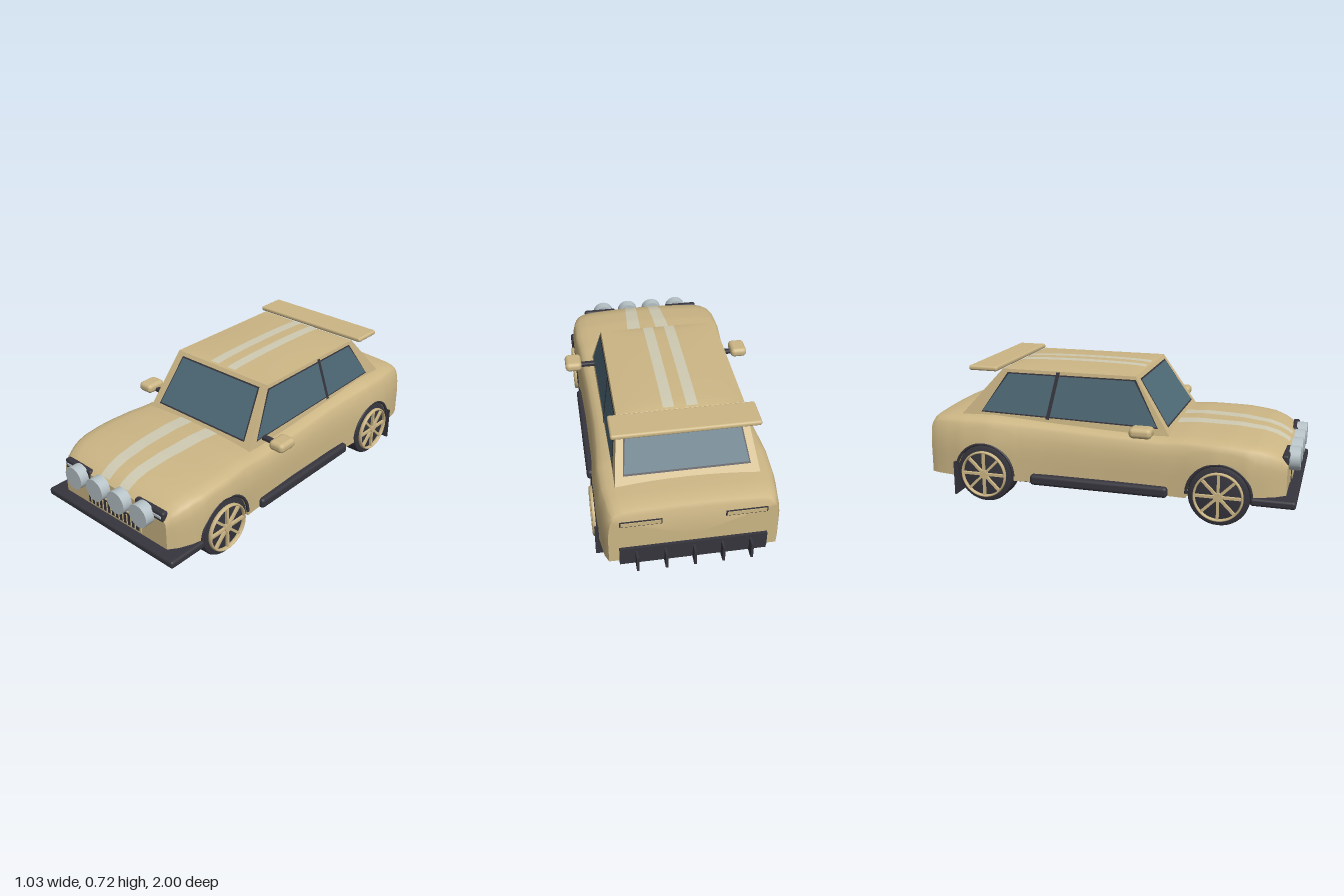
import * as THREE from 'three';
import { toCreasedNormals } from 'three/addons/utils/BufferGeometryUtils.js';
import { RoundedBoxGeometry } from 'three/addons/geometries/RoundedBoxGeometry.js';

const material = (name, color) => {
  const m = new THREE.MeshStandardMaterial({ color });
  m.name = name;
  return m;
};
const paint = material('sand paint', 0xccb685);
const trim = material('dark trim', 0x36353d);
const under = material('black floor', 0x1c1c1f);
const glass = material('blue glass', 0x4f6b78);
const stripe = material('pale stripe', 0xcfcab2);
const lamp = material('lamp silver', 0xb6c2c7);

// Piecewise linear value along z
const track = (pts) => (z) => {
  let i = 1;
  while (i < pts.length - 1 && z > pts[i][0]) i++;
  const [a, b] = [pts[i - 1], pts[i]];
  return a[1] + (b[1] - a[1]) * THREE.MathUtils.clamp((z - a[0]) / (b[0] - a[0]), 0, 1);
};
const halfWidth = track([[-0.94, 0.405], [-0.9, 0.422], [-0.75, 0.444], [-0.6, 0.449], [-0.42, 0.435], [-0.25, 0.427],
  [0.1, 0.427], [0.4, 0.436], [0.6, 0.45], [0.76, 0.445], [0.84, 0.425], [0.9, 0.398], [0.945, 0.365]]);
const topLine = track([[-0.94, 0.425], [-0.93, 0.442], [-0.9, 0.453], [-0.83, 0.459], [-0.6, 0.467], [-0.3, 0.452],
  [0, 0.438], [0.3, 0.427], [0.36, 0.43], [0.46, 0.437], [0.67, 0.432], [0.81, 0.416], [0.87, 0.398], [0.92, 0.372], [0.945, 0.35]]);
const deckY = (x, z) => topLine(z) - 0.012 * (x / (halfWidth(z) - 0.09)) ** 2;
const roofY = (x, z) => 0.7 + 0.015 * (1 - (x / 0.31) ** 2) * Math.sqrt(Math.max(0, 1 - ((z + 0.188) / 0.358) ** 2));
const wheelZ = [-0.62, 0.625], axleY = 0.155, archR = 0.165, floorY = 0.13;

function geometry(pos, index) {
  const g = new THREE.BufferGeometry();
  g.setAttribute('position', new THREE.Float32BufferAttribute(pos, 3));
  g.setIndex(index);
  g.computeVertexNormals();
  return g;
}

// Lofted shell whose lower edge follows the wheel arches
function bodyGeometry() {
  const stations = [];
  const plain = (...zs) => zs.forEach((z) => stations.push([z, floorY]));
  const arch = (zc) => {
    const dip = Math.asin((axleY - floorY) / archR);
    for (let i = 0; i <= 22; i++) {
      const a = Math.PI + dip - (i / 22) * (Math.PI + 2 * dip);
      stations.push([zc + archR * Math.cos(a), axleY + archR * Math.sin(a)]);
    }
  };
  plain(-0.94, -0.93, -0.9, -0.83);
  arch(wheelZ[0]);
  plain(-0.42, -0.3, -0.25, 0, 0.1, 0.3, 0.36, 0.4);
  arch(wheelZ[1]);
  plain(0.81, 0.84, 0.87, 0.9, 0.92, 0.945);
  const pos = [], index = [];
  let n = 0;
  for (const [z, yb] of stations) {
    const w = halfWidth(z), ys = topLine(z) - 0.045;
    const side = (y) => w - 1.2 * Math.max(0, y - 0.27) ** 2;
    const half = [[0, yb]];
    for (let k = 0; k <= 5; k++) {
      const y = yb + (ys - yb) * k / 5;
      half.push([side(y), y]);
    }
    half.push([side(ys) - 0.01, ys + 0.014], [side(ys) - 0.032, ys + 0.026]);
    for (const f of [1, 0.75, 0.5, 0.25, 0]) half.push([(w - 0.09) * f, deckY((w - 0.09) * f, z)]);
    const ring = [...half, ...half.slice(1, -1).reverse().map(([x, y]) => [-x, y])];
    n = ring.length;
    ring.forEach(([x, y]) => pos.push(x, y, z));
  }
  const last = stations.length - 1;
  for (let j = 0; j < last; j++) for (let k = 0; k < n; k++) {
    const a = j * n + k, b = j * n + (k + 1) % n;
    index.push(a, b, a + n, b, b + n, a + n);
  }
  const c = pos.length / 3;
  pos.push(0, 0.25, stations[0][0], 0, 0.25, stations[last][0]);
  for (let k = 0; k < n; k++) {
    const k2 = (k + 1) % n;
    index.push(c, k2, k, c + 1, last * n + k, last * n + k2);
  }
  return toCreasedNormals(geometry(pos, index), 0.6);
}

// Strip draped on a height function between two edges
function drape(left, right, z0, z1, height, lift = 0, cols = 4, rows = 28) {
  const pos = [], index = [];
  for (let j = 0; j <= rows; j++) for (let i = 0; i <= cols; i++) {
    const z = z0 + (z1 - z0) * j / rows, x = left(z) + (right(z) - left(z)) * i / cols;
    pos.push(x, height(x, z) + lift, z);
    if (i < cols && j < rows) {
      const a = j * (cols + 1) + i, d = a + cols + 1;
      index.push(a, d, a + 1, a + 1, d, d + 1);
    }
  }
  return geometry(pos, index);
}

// Flat four-cornered panel, pushed out along its normal
function plate(corners, lift = 0) {
  const p = corners.map((c) => new THREE.Vector3(...c));
  const n = p[1].clone().sub(p[0]).cross(p[2].clone().sub(p[0])).normalize();
  return geometry(p.flatMap((v) => v.addScaledVector(n, lift).toArray()), [0, 1, 2, 0, 2, 3]);
}

export function createModel() {
  const car = new THREE.Group();
  car.name = 'rallyCar';
  const add = (name, geo, mat, x = 0, y = 0, z = 0, parent = car) => {
    const m = new THREE.Mesh(geo, mat);
    m.name = name;
    m.position.set(x, y, z);
    parent.add(m);
    return m;
  };
  const box = (name, mat, x0, x1, y0, y1, z0, z1, r = 0) => {
    const s = [x1 - x0, y1 - y0, z1 - z0];
    return add(name, r ? new RoundedBoxGeometry(...s, 3, r) : new THREE.BoxGeometry(...s), mat,
      (x0 + x1) / 2, (y0 + y1) / 2, (z0 + z1) / 2);
  };
  const boxPair = (name, mat, x0, x1, ...rest) => {
    box(name + 'Left', mat, x0, x1, ...rest);
    box(name + 'Right', mat, -x1, -x0, ...rest);
  };

  // Shell and underside
  add('body', bodyGeometry(), paint);
  box('underbody', paint, -0.31, 0.31, 0.131, 0.34, -0.9, 0.9);
  box('floorPlate', under, -0.36, 0.36, 0.1, 0.13, -0.46, 0.31);

  // Cabin walls and windows
  const front = ([x, y]) => [x, y, 0.36 - (y - 0.41) * 0.655];
  const rear = ([x, y]) => [-x, y, -0.785 + (y - 0.44) * 0.904];
  const left = ([z, y]) => [0.355 - (y - 0.41) * 0.155, y, z];
  const right = ([z, y]) => { const p = left([z, y]); return [-p[0], p[1], p[2]]; };
  const panel = (name, mat, map, pts, lift) =>
    add(name, plate((map === right ? [...pts].reverse() : pts).map(map), lift), mat);
  const grow = (pts, d) => pts.map(([x, y], i) => [x + (i === 0 || i === 3 ? -d : d) * Math.sign(pts[1][0] - pts[0][0]), y + (i < 2 ? -d : d)]);
  const win = (name, map, pts) => {
    panel(name + 'Seal', trim, map, grow(pts, 0.007), 0.002);
    panel(name, glass, map, pts, 0.004);
  };
  panel('windshieldFrame', paint, front, [[-0.355, 0.41], [0.355, 0.41], [0.31, 0.7], [-0.31, 0.7]]);
  win('windshield', front, [[-0.297, 0.452], [0.297, 0.452], [0.263, 0.674], [-0.263, 0.674]]);
  panel('rearFrame', paint, rear, [[-0.35, 0.44], [0.35, 0.44], [0.31, 0.7], [-0.31, 0.7]]);
  win('rearWindow', rear, [[-0.3, 0.49], [0.3, 0.49], [0.27, 0.67], [-0.27, 0.67]]);
  for (const [map, tag] of [[left, 'Left'], [right, 'Right']]) {
    panel('cabinSide' + tag, paint, map, [[0.36, 0.41], [-0.785, 0.44], [-0.55, 0.7], [0.17, 0.7]]);
    win('sideWindow' + tag, map, [[0.29, 0.455], [-0.66, 0.475], [-0.515, 0.676], [0.165, 0.676]]);
    panel('doorPillar' + tag, trim, map, [[-0.282, 0.452], [-0.302, 0.452], [-0.25, 0.697], [-0.23, 0.697]], 0.007);
  }
  add('roof', drape(() => -0.31, () => 0.31, -0.55, 0.17, roofY, 0, 16), paint);

  // Racing stripes
  for (const s of [-1, 1]) {
    const inner = track([[0.35, 0.05], [0.6, 0.046], [0.93, 0.036]]), outer = track([[0.35, 0.13], [0.6, 0.122], [0.93, 0.1]]);
    const edges = s > 0 ? [inner, outer] : [(z) => -outer(z), (z) => -inner(z)];
    add('hoodStripe', drape(...edges, 0.35, 0.93, deckY, 0.003), stripe);
    add('roofStripe', drape(() => s * 0.057 - 0.027, () => s * 0.057 + 0.027, -0.54, 0.16, roofY, 0.003), stripe);
  }

  // Spoiler, mirrors, sills, splitter
  box('spoiler', paint, -0.355, 0.355, 0.69, 0.716, -0.725, -0.565, 0.011);
  boxPair('mirror', paint, 0.425, 0.515, 0.435, 0.487, 0.185, 0.3, 0.022);
  boxPair('mirrorArm', trim, 0.33, 0.435, 0.436, 0.46, 0.225, 0.255, 0.008);
  boxPair('sill', trim, 0.39, 0.46, 0.122, 0.178, -0.36, 0.37, 0.018);
  box('splitter', trim, -0.453, 0.453, 0.126, 0.166, 0.78, 1, 0.014);

  // Rear diffuser
  box('diffuserPanel', trim, -0.355, 0.355, 0.13, 0.215, -0.955, -0.93);
  box('diffuserTray', trim, -0.355, 0.355, 0.112, 0.14, -0.95, -0.85);
  for (let i = -2; i <= 2; i++) box('diffuserFin', trim, i * 0.137 - 0.006, i * 0.137 + 0.006, 0.108, 0.197, -1, -0.94);

  // Grille
  box('grilleFrame', paint, -0.195, 0.195, 0.174, 0.258, 0.94, 0.95, 0.004);
  box('grille', trim, -0.185, 0.185, 0.182, 0.25, 0.942, 0.953, 0.004);
  for (let i = 0; i < 12; i++) {
    const x = -0.16 + i * 0.32 / 11;
    box('grilleBar', paint, x - 0.003, x + 0.003, 0.188, 0.244, 0.948, 0.957);
  }

  // Headlights, tail lights and auxiliary lamps
  boxPair('headlightHousing', trim, 0.16, 0.355, 0.31, 0.365, 0.915, 0.949, 0.012);
  boxPair('headlight', lamp, 0.2, 0.34, 0.328, 0.345, 0.94, 0.952, 0.004);
  boxPair('tailLightRecess', trim, 0.15, 0.35, 0.352, 0.382, -0.944, -0.932);
  boxPair('tailLight', paint, 0.156, 0.344, 0.357, 0.377, -0.947, -0.935);
  for (const x of [-0.233, -0.077, 0.077, 0.233]) {
    const geo = new THREE.CylinderGeometry(0.06, 0.06, 0.055, 32).rotateX(Math.PI / 2);
    add('auxiliaryLamp', geo, lamp, x, 0.32, 0.97);
  }

  // Wheels with spoked rims, arch lips and mud flaps
  const profile = [[0, -0.06], [0.135, -0.06], [0.15, -0.055], [0.155, -0.045], [0.155, 0.045], [0.15, 0.055], [0.135, 0.06], [0, 0.06]];
  const tire = toCreasedNormals(new THREE.LatheGeometry(profile.map((p) => new THREE.Vector2(...p)), 40).rotateZ(-Math.PI / 2), 0.7);
  for (const s of [-1, 1]) for (const z of wheelZ) {
    const wheel = new THREE.Group();
    wheel.name = 'wheel';
    wheel.position.set(s * 0.382, axleY, z);
    wheel.rotation.y = s > 0 ? 0 : Math.PI;
    car.add(wheel);
    add('tire', tire, trim, 0, 0, 0, wheel);
    add('rimRing', new THREE.TorusGeometry(0.12, 0.006, 8, 40).rotateY(Math.PI / 2).scale(2.2, 1, 1), paint, 0.068, 0, 0, wheel);
    add('hub', new THREE.CylinderGeometry(0.022, 0.022, 0.024, 20).rotateZ(Math.PI / 2), paint, 0.066, 0, 0, wheel);
    for (let i = 0; i < 8; i++) {
      const spoke = new THREE.BoxGeometry(0.016, 0.105, 0.013).translate(0, 0.066, 0).rotateX(i * Math.PI / 4);
      add('spoke', spoke, paint, 0.066, 0, 0, wheel);
    }
    add('archLip', new THREE.TorusGeometry(0.162, 0.008, 8, 32, Math.PI).rotateY(Math.PI / 2), trim, s * 0.44, axleY, z);
  }
  boxPair('mudFlap', trim, 0.32, 0.458, 0.03, 0.21, -0.79, -0.78);
  return car;
}
